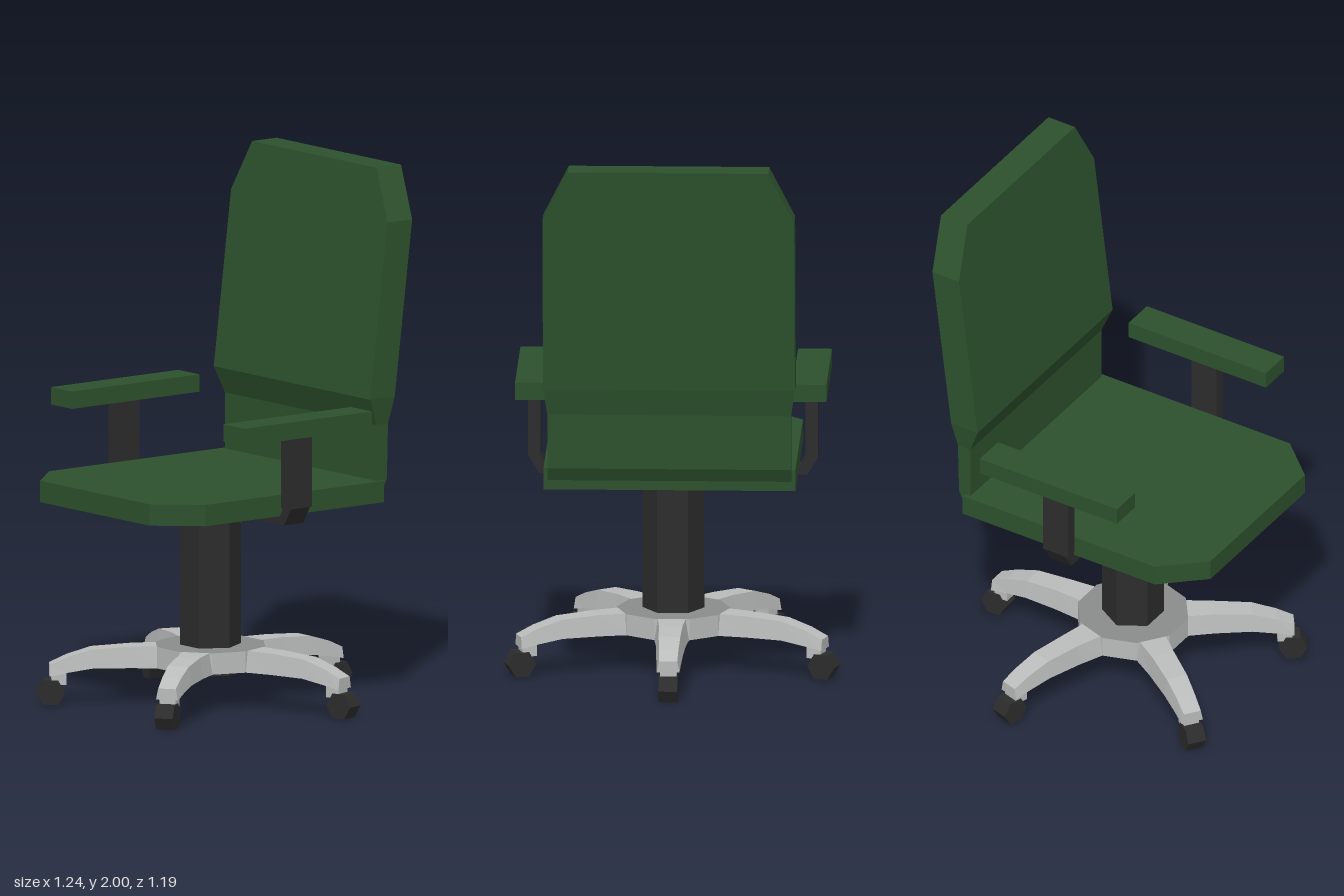
import * as THREE from 'three';

const mat = (name, color) => Object.assign(new THREE.MeshStandardMaterial({ color, flatShading: true }), { name });

// Solid from a list of equal-sized rings of [x, y, z], capped at both ends
function loft(rings) {
  const pos = [];
  const quad = (a, b, c, d) => pos.push(...a, ...b, ...c, ...a, ...c, ...d);
  for (let r = 0; r < rings.length - 1; r++) {
    const A = rings[r], B = rings[r + 1];
    for (let i = 0; i < 4; i++) {
      const j = (i + 1) % 4;
      quad(A[i], A[j], B[j], B[i]);
    }
  }
  quad(...[...rings[0]].reverse());
  quad(...rings[rings.length - 1]);
  const g = new THREE.BufferGeometry();
  g.setAttribute('position', new THREE.Float32BufferAttribute(pos, 3));
  g.computeVertexNormals();
  return g;
}

// Polygon extruded along z, centred on z = 0
function extrude(points, depth) {
  const shape = new THREE.Shape(points.map(([x, y]) => new THREE.Vector2(x, y)));
  return new THREE.ExtrudeGeometry(shape, { depth, bevelEnabled: false }).translate(0, 0, -depth / 2);
}

export function createModel() {
  const green = mat('green upholstery', 0x2d512d);
  const black = mat('black plastic', 0x2c2c2d);
  const silver = mat('silver metal', 0xb9bcbb);
  const grey = mat('grey metal', 0x8a8c8c);
  const model = new THREE.Group();
  model.name = 'officeChair';

  const add = (parent, name, geometry, material, x = 0, y = 0, z = 0) => {
    const mesh = new THREE.Mesh(geometry, material);
    mesh.name = name;
    mesh.position.set(x, y, z);
    parent.add(mesh);
    return mesh;
  };
  const AXIS_Z = 0.05; // the pedestal sits slightly forward

  // Seat cushion with cut front corners
  const seat = extrude([[-0.465, 0.4], [-0.465, -0.44], [-0.325, -0.595], [0.325, -0.595], [0.465, -0.44], [0.465, 0.4]], 0.08);
  add(model, 'seat', seat.rotateX(-Math.PI / 2), green, 0, 0.805, 0);

  // Backrest: height, front z, back z, half width
  const backRings = [
    [0.80, -0.375, -0.40, 0.45],
    [0.85, -0.375, -0.425, 0.45],
    [1.055, -0.375, -0.43, 0.45],
    [1.155, -0.335, -0.45, 0.465],
    [1.81, -0.416, -0.532, 0.465],
    [2.0, -0.44, -0.555, 0.37],
  ].map(([y, f, b, w]) => [[w, y, f], [w, y, b], [-w, y, b], [-w, y, f]]);
  add(model, 'backrest', loft(backRings), green);

  // Arms
  for (const [side, s] of [['left', 1], ['right', -1]]) {
    const arm = new THREE.Group();
    arm.name = side + 'Arm';
    model.add(arm);
    add(arm, side + 'ArmPad', new THREE.BoxGeometry(0.125, 0.065, 0.6), green, s * 0.5125, 1.1025, 0.045);
    add(arm, side + 'ArmPost', new THREE.BoxGeometry(0.046, 0.27, 0.11), black, s * 0.512, 0.935, AXIS_Z);
    const bracket = [[0.26, 0.735], [0.495, 0.735], [0.535, 0.8], [0.49, 0.8], [0.47, 0.765], [0.26, 0.765]];
    add(arm, side + 'ArmBracket', extrude(bracket.map(([x, y]) => [s * x, y]), 0.09), black, 0, 0, AXIS_Z);
  }

  // Pedestal: hexagonal mount and column, points to the sides
  const hexagon = (r, h) => new THREE.CylinderGeometry(r, r, h, 6).rotateY(Math.PI / 6);
  add(model, 'seatMount', hexagon(0.187, 0.065), black, 0, 0.7325, AXIS_Z);
  add(model, 'column', hexagon(0.114, 0.585), black, 0, 0.4075, AXIS_Z);

  // Five-legged base
  const base = new THREE.Group();
  base.name = 'base';
  base.position.z = AXIS_Z;
  model.add(base);
  const hub = new THREE.CylinderGeometry(0.21, 0.21, 0.08, 10).rotateY(Math.PI / 10);
  add(base, 'hub', hub, [silver, grey, grey], 0, 0.18, 0);

  // Leg sections: distance out, bottom, top, half width
  const legGeometry = loft([
    [0.19, 0.14, 0.22, 0.065],
    [0.3, 0.14, 0.218, 0.055],
    [0.44, 0.138, 0.208, 0.05],
    [0.53, 0.122, 0.18, 0.045],
    [0.595, 0.108, 0.15, 0.042],
  ].map(([z, b, t, w]) => [[w, b, z], [w * 0.8, t, z], [-w * 0.8, t, z], [-w, b, z]]));
  const stemGeometry = new THREE.BoxGeometry(0.06, 0.06, 0.055);
  const casterGeometry = new THREE.CylinderGeometry(0.053, 0.053, 0.07, 6).rotateZ(Math.PI / 2).rotateX(Math.PI / 2);
  // Turn the wheel so a flat side rests on the floor
  casterGeometry.computeBoundingBox();
  if (casterGeometry.boundingBox.max.y > 0.05) casterGeometry.rotateX(Math.PI / 6);

  for (let i = 0; i < 5; i++) {
    const leg = new THREE.Group();
    leg.name = 'leg' + (i + 1);
    leg.rotation.y = Math.PI + (i * Math.PI * 2) / 5;
    base.add(leg);
    add(leg, 'legBeam', legGeometry, silver);
    add(leg, 'casterStem', stemGeometry, silver, 0, 0.105, 0.56);
    add(leg, 'caster', casterGeometry, black, 0, 0.046, 0.59);
  }
  return model;
}
